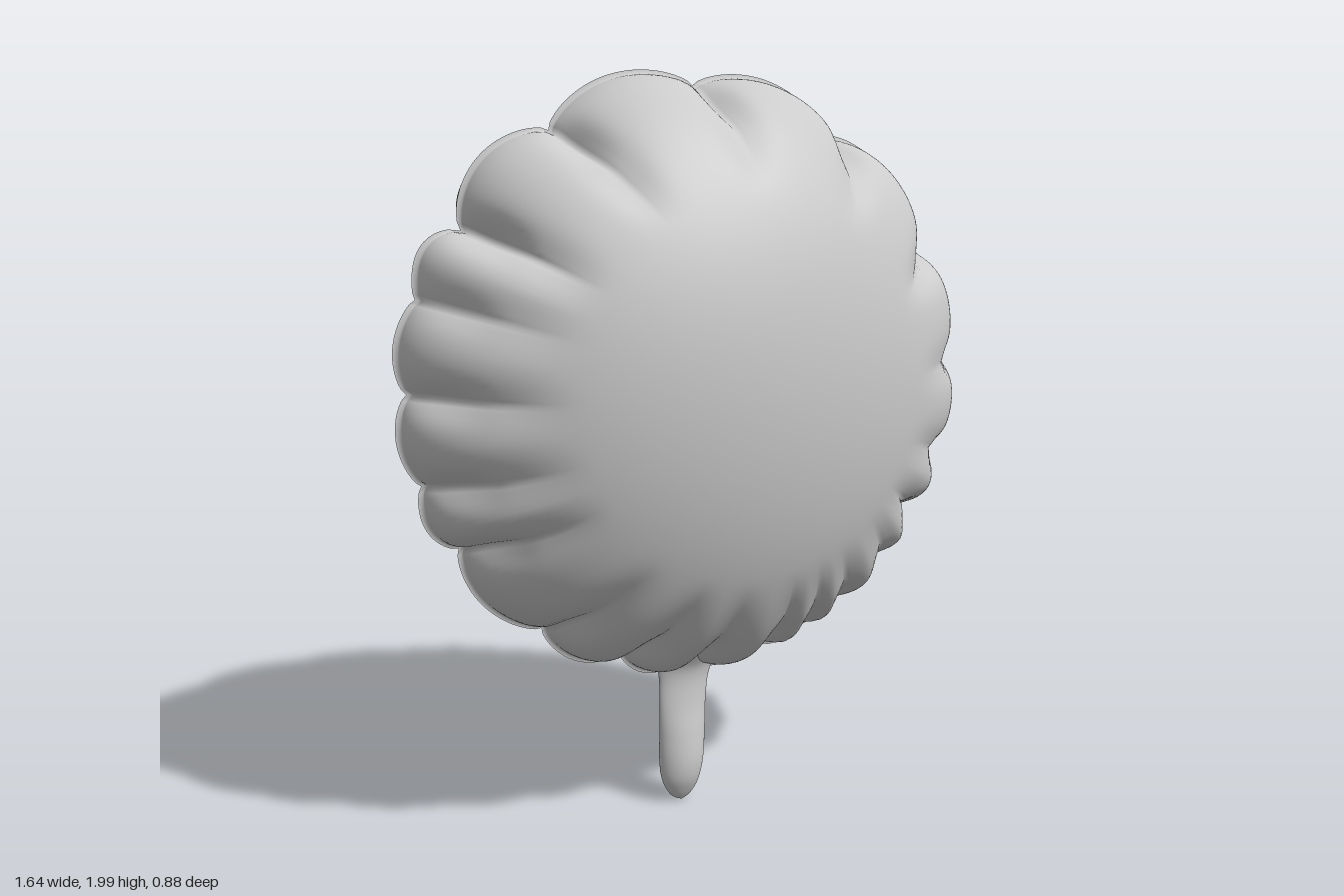
import * as THREE from 'three';

const CY = 1.19;
// pinches round the seam: [angle in degrees, radius there, crease strength]
const PINCHES = [
  [2, 0.785, 0.5], [27, 0.75, 1], [57, 0.76, 0.9], [89, 0.765, 0.8], [121, 0.755, 0.8],
  [147, 0.745, 0.9], [162, 0.785, 0.4], [179, 0.78, 0.6], [196, 0.785, 0.6], [210, 0.77, 0.7],
  [234, 0.775, 0.6], [252, 0.765, 0.7], [266.5, 0.77, 0.6], [283, 0.77, 0.6], [292, 0.775, 0.6],
  [301, 0.785, 0.6], [314, 0.785, 0.5], [326, 0.755, 0.8], [341, 0.785, 0.6],
];
const smooth = THREE.MathUtils.smoothstep;

// the seam lies in a slightly tilted plane
const seamZ = (x, y) => 0.015 + 0.05 * x - 0.035 * (y - CY);

// seam radius: rounded lobes between neighbouring pinches
function rimRadius(deg) {
  const n = PINCHES.length;
  for (let i = 0; i < n; i++) {
    const a = PINCHES[i], b = PINCHES[(i + 1) % n];
    const span = (b[0] - a[0] + 360) % 360;
    const d = (deg - a[0] + 360) % 360;
    if (d < span) {
      const t = d / span;
      const base = a[1] + (b[1] - a[1]) * t;
      return base + (0.818 - base) * Math.pow(Math.sin(Math.PI * t), 0.65);
    }
  }
  return 0.8;
}

// crease strength at an angle, 0 on lobes and up to 1 at a pinch
function crease(deg, width) {
  let c = 0;
  for (const [angle, , k] of PINCHES) {
    const d = ((deg - angle + 540) % 360) - 180;
    c = Math.max(c, k * Math.exp(-((d / width) ** 2)));
  }
  return c;
}

// grid of points to a smooth surface; rows of equal length
function gridGeometry(rows, flip) {
  const cols = rows[0].length, index = [];
  for (let i = 0; i < rows.length - 1; i++) {
    for (let j = 0; j < cols; j++) {
      const k = (j + 1) % cols;
      const a = i * cols + j, b = (i + 1) * cols + j, c = (i + 1) * cols + k, d = i * cols + k;
      if (flip) index.push(a, c, b, a, d, c);
      else index.push(a, b, c, a, c, d);
    }
  }
  const g = new THREE.BufferGeometry();
  g.setAttribute('position', new THREE.Float32BufferAttribute(rows.flat(2), 3));
  g.setIndex(index);
  g.computeVertexNormals();
  return g;
}

// one inflated half of the envelope, side = 1 front or -1 back
function shellGeometry(side) {
  const RINGS = 44, COLS = 360, rows = [];
  for (let i = 0; i <= RINGS + 1; i++) {
    const flange = i > RINGS;
    const s = flange ? 1 : Math.max(0.0005, Math.sin((i / RINGS) * Math.PI / 2));
    const row = [];
    for (let j = 0; j < COLS; j++) {
      const deg = (j / COLS) * 360, a = THREE.MathUtils.degToRad(deg);
      const rim = rimRadius(deg) - (flange ? 0 : 0.012);
      const r = s * (0.8 + (rim - 0.8) * smooth(s, 0.6, 1));
      const x = r * Math.cos(a) * 1.008, y = CY + r * Math.sin(a);
      // domed height, sunk along the creases
      const dent = 0.5 * crease(deg, 3.2) * smooth(s, 0.82, 0.99)
        + 0.12 * crease(deg, 5) * smooth(s, 0.6, 0.9);
      const h = flange ? 0.001 : 0.44 * Math.pow(Math.max(0, 1 - s * s), 0.53) * (1 - dent) + 0.002;
      row.push([x, y, seamZ(x, y) * s * s + side * h]);
    }
    rows.push(row);
  }
  return gridGeometry(rows, side < 0);
}

// flat filling neck: lens-shaped sections of [y, centre x, half width, half thickness]
function neckGeometry() {
  const sections = [
    [0.56, -0.03, 0.06, 0.12], [0.48, -0.03, 0.07, 0.085], [0.43, -0.035, 0.085, 0.055],
    [0.39, -0.04, 0.083, 0.033], [0.35, -0.045, 0.075, 0.026], [0.28, -0.05, 0.071, 0.029],
    [0.2, -0.053, 0.069, 0.04], [0.12, -0.057, 0.066, 0.046], [0.07, -0.06, 0.058, 0.039],
    [0.035, -0.06, 0.044, 0.024], [0.012, -0.06, 0.025, 0.01], [0, -0.06, 0.001, 0.001],
  ];
  const curve = (k) => new THREE.CatmullRomCurve3(
    sections.map((p) => new THREE.Vector3(p[0], p[1], p[k])));
  const widths = curve(2), thick = curve(3), rows = [], STEPS = 55, COLS = 40;
  for (let i = 0; i <= STEPS; i++) {
    const w = widths.getPoint(i / STEPS), t = thick.getPoint(i / STEPS), row = [];
    for (let j = 0; j < COLS; j++) {
      const a = (j / COLS) * Math.PI * 2, sn = Math.sin(a);
      const x = w.y + w.z * Math.cos(a);
      row.push([x, w.x, seamZ(x, w.x) + t.z * Math.sign(sn) * Math.pow(Math.abs(sn), 1.2)]);
    }
    rows.push(row);
  }
  return gridGeometry(rows, true);
}

export function createModel() {
  const model = new THREE.Group();
  model.name = 'foilBalloon';
  const material = new THREE.MeshStandardMaterial({
    color: 0xcccccc, roughness: 0.6, side: THREE.DoubleSide,
  });
  const add = (name, geometry) => {
    const mesh = new THREE.Mesh(geometry, material);
    mesh.name = name;
    model.add(mesh);
  };
  add('frontShell', shellGeometry(1));
  add('backShell', shellGeometry(-1));
  add('fillingNeck', neckGeometry());
  return model;
}
